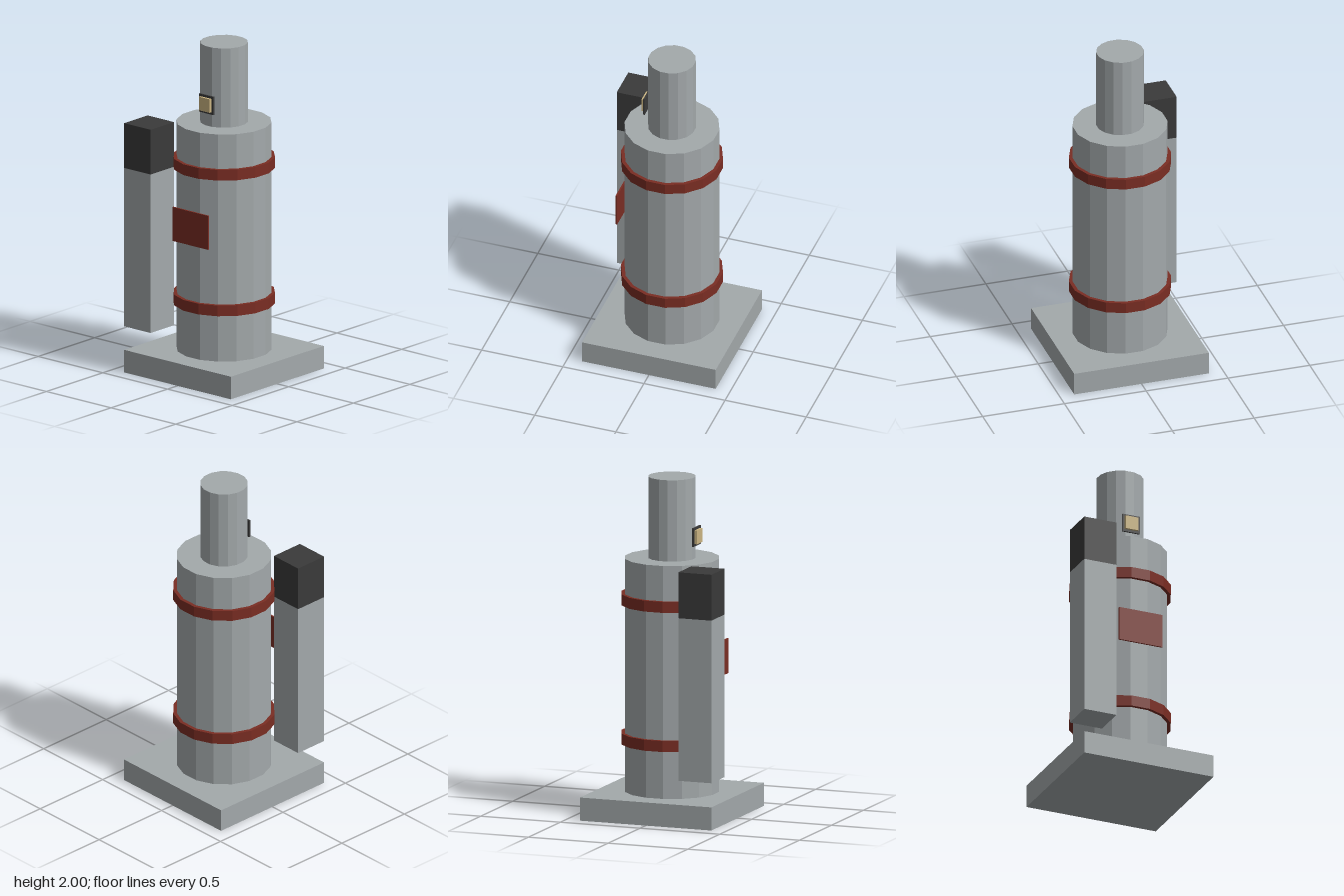
import * as THREE from 'three';

export function createModel() {
  const model = new THREE.Group();
  model.name = 'industrialTower';

  const paint = (name, color, flatShading = true) => {
    const m = new THREE.MeshStandardMaterial({ color, flatShading });
    m.name = name;
    return m;
  };
  const grey = paint('concreteGrey', 0xa3a9ab);
  const red = paint('rustRed', 0x7a2d23);
  const dark = paint('charcoal', 0x3a3a3a);
  const tan = paint('lampTan', 0xcbb582);

  const add = (name, geometry, material) => {
    const mesh = new THREE.Mesh(geometry, material);
    mesh.name = name;
    model.add(mesh);
    return mesh;
  };

  // Box given by its limits on each axis
  const box = (name, material, [x0, x1], [y0, y1], [z0, z1]) =>
    add(name, new THREE.BoxGeometry(x1 - x0, y1 - y0, z1 - z0), material)
      .position.set((x0 + x1) / 2, (y0 + y1) / 2, (z0 + z1) / 2);

  // Sixteen-sided drum with a flat side facing the front
  const SIDES = 16;
  const drum = (name, material, radius, y0, y1) => {
    const g = new THREE.CylinderGeometry(radius, radius, y1 - y0, SIDES);
    g.rotateY(Math.PI / SIDES);
    add(name, g, material).position.y = (y0 + y1) / 2;
  };

  // Square plinth, main drum and upper stack
  box('base', grey, [-0.412, 0.412], [0, 0.137], [-0.412, 0.412]);
  drum('body', grey, 0.279, 0.137, 1.518);
  drum('stack', grey, 0.14, 1.518, 2);

  // Bands around the drum
  drum('lowerBand', red, 0.3, 0.419, 0.484);
  drum('upperBand', red, 0.3, 1.244, 1.309);

  // Square side column with a dark cap
  box('sideColumn', grey, [-0.412, -0.207], [0.28, 1.244], [0.205, 0.412]);
  box('columnCap', dark, [-0.412, -0.207], [1.244, 1.516], [0.205, 0.412]);

  // Front panel
  box('frontPanel', red, [-0.138, 0.138], [0.829, 1.035], [0.29, 0.3]);

  // Small lit window in front of the stack
  box('windowFrame', dark, [-0.055, 0.055], [1.6, 1.71], [0.149, 0.159]);
  box('windowPane', tan, [-0.041, 0.041], [1.614, 1.696], [0.159, 0.174]);

  return model;
}
